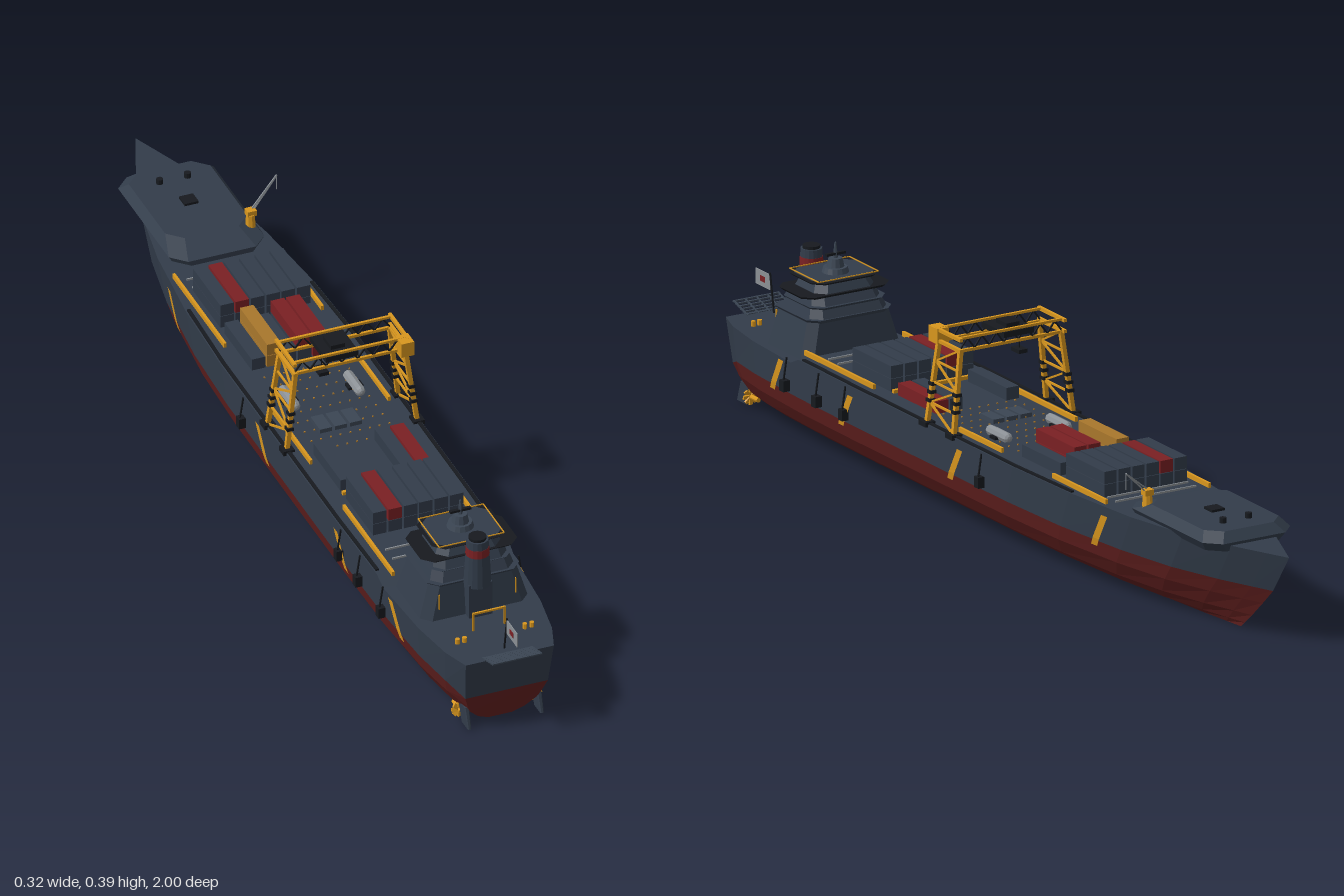
import * as THREE from 'three';
import { mergeGeometries } from 'three/addons/utils/BufferGeometryUtils.js';

const paint = (name, color) => Object.assign(new THREE.MeshStandardMaterial({ color, flatShading: true }), { name });
const slate = paint('slate', 0x323c4a), black = paint('black', 0x171a1f), red = paint('hullRed', 0x62201f);
const yellow = paint('yellow', 0xd8961e), grey = paint('grey', 0x8b9095), crimson = paint('crimson', 0x7a2023);
const ochre = paint('ochre', 0xa9772c), steel = paint('steel', 0x3b4654);
red.side = slate.side = yellow.side = grey.side = THREE.DoubleSide;

const V = (x, y, z) => new THREE.Vector3(x, y, z);
// Linear interpolation in a table of ascending [key, value] pairs
function lin(t, k) {
  if (k <= t[0][0]) return t[0][1];
  for (let i = 1; i < t.length; i++) if (k <= t[i][0])
    return t[i - 1][1] + (t[i][1] - t[i - 1][1]) * (k - t[i - 1][0]) / (t[i][0] - t[i - 1][0]);
  return t[t.length - 1][1];
}
// Closed skin through rings of points, capped at both ends
function loft(rings) {
  const p = [], n = rings[0].length, tri = (...v) => v.forEach(q => p.push(q.x, q.y, q.z));
  for (let i = 0; i + 1 < rings.length; i++) for (let j = 0; j < n; j++) {
    const k = (j + 1) % n, a = rings[i], b = rings[i + 1];
    tri(a[j], a[k], b[j]);
    tri(a[k], b[k], b[j]);
  }
  const first = rings[0], last = rings[rings.length - 1];
  for (let j = 1; j + 1 < n; j++) {
    tri(first[0], first[j + 1], first[j]);
    tri(last[0], last[j], last[j + 1]);
  }
  const g = new THREE.BufferGeometry();
  g.setAttribute('position', new THREE.Float32BufferAttribute(p, 3));
  g.computeVertexNormals();
  return g;
}
// Rectangle with cut corners at height y
function octagon(y, hx, z0, z1, c) {
  return [[hx, z1 - c], [hx, z0 + c], [hx - c, z0], [c - hx, z0], [-hx, z0 + c], [-hx, z1 - c], [c - hx, z1], [hx - c, z1]]
    .map(([x, z]) => V(x, y, z));
}
const box = (w, h, d, x, y, z) => new THREE.BoxGeometry(w, h, d).translate(x, y, z);
const cyl = (r0, r1, h, x, y, z, n = 12) => new THREE.CylinderGeometry(r1, r0, h, n).translate(x, y + h / 2, z);
function beam(a, b, t) {
  const d = b.clone().sub(a), g = new THREE.BoxGeometry(t, d.length(), t);
  g.applyQuaternion(new THREE.Quaternion().setFromUnitVectors(V(0, 1, 0), d.normalize()));
  return g.translate((a.x + b.x) / 2, (a.y + b.y) / 2, (a.z + b.z) / 2);
}

// Hull form: half width by height, end positions by height, plan fullness along the length
const widths = [[0, 0.04], [0.012, 0.077], [0.035, 0.111], [0.07, 0.134], [0.105, 0.143], [0.175, 0.146]];
const sternZ = [[0, 0.91], [0.04, 0.928], [0.1, 0.95], [0.175, 0.96]];
const bowZ = [[0, -0.82], [0.048, -0.877], [0.107, -0.94], [0.193, -1]];
const toU = z => (0.96 - z) / 1.96;
const plan = [[0.96, 0.65], [0.9, 0.79], [0.8, 0.9], [0.64, 0.97], [0.61, 0.98], [0.4, 1], [-0.2, 1], [-0.4, 0.95], [-0.6, 0.81],
  [-0.75, 0.62], [-0.87, 0.36], [-0.95, 0.14], [-1, 0]].map(([z, w]) => [toU(z), w]);
const sheer = [[0, 0.172], [toU(0.64), 0.172], [toU(0.61), 0.187], [toU(-0.6), 0.187], [1, 0.193]];
const waterline = [[0, 0.08], [toU(0.9), 0.1], [0.1, 0.105], [1, 0.107]];
function hullPoint(side, u, y) {
  const s = lin(sternZ, y);
  return V(side * lin(widths, y) * lin(plan, u), y, s + (lin(bowZ, y) - s) * u);
}
function sideAt(side, z, y, out = 0.003) {
  const s = lin(sternZ, y), p = hullPoint(side, (s - z) / (s - lin(bowZ, y)), y);
  p.x += side * out;
  return p;
}

export function createModel() {
  const ship = new THREE.Group();
  ship.name = 'cargoShip';
  const add = (name, mat, ...geos) => {
    const m = new THREE.Mesh(geos.length > 1 ? mergeGeometries(geos.map(g => g.index ? g.toNonIndexed() : g).map(g => g.deleteAttribute('uv'))) : geos[0], mat);
    m.name = name;
    ship.add(m);
  };

  // Hull
  const stations = plan.map(p => p[0]);
  const section = (u, ys) => [...ys.map(y => hullPoint(1, u, y)), ...[...ys].reverse().map(y => hullPoint(-1, u, y))];
  add('lowerHull', red, loft(stations.map(u => {
    const w = lin(waterline, u);
    return section(u, [w, w * 0.667, 0.035, 0.012, 0]);
  })));
  add('upperHull', slate, loft(stations.map(u => section(u, [lin(sheer, u), lin(waterline, u)]))));

  // Slanted hull stripes, davits and fenders
  const stripes = [], fenders = [];
  for (const s of [1, -1]) {
    for (const z of [0.7, 0.43, 0.02, -0.49]) {
      const edge = (y, dz) => sideAt(s, z + 0.022 - 0.044 * (y - 0.095) / 0.073 + dz, y);
      const strip = [0.168, 0.14, 0.112, 0.095].map(y => [edge(y, 0.01), edge(y, -0.01)]);
      const p = [];
      for (let i = 0; i < 3; i++) {
        const [a, b] = strip[i], [c, d] = strip[i + 1];
        for (const v of [a, c, b, b, c, d]) p.push(v.x, v.y, v.z);
      }
      const g = new THREE.BufferGeometry();
      g.setAttribute('position', new THREE.Float32BufferAttribute(p, 3));
      g.computeVertexNormals();
      stripes.push(g);
    }
    for (const z of [0.65, 0.53, 0.43, -0.08]) {
      fenders.push(box(0.015, 0.023, 0.016, s * 0.151, 0.124, z));
      fenders.push(beam(V(s * 0.154, 0.13, z), V(s * 0.146, 0.182, z), 0.003));
    }
  }
  add('hullStripes', yellow, ...stripes);
  add('fenders', black, ...fenders);

  // Rudders and propellers
  for (const s of [1, -1]) {
    add('rudder', slate, loft([octagon(0.002, 0.004, 0.905, 0.94, 0.002), octagon(0.045, 0.005, 0.89, 0.925, 0.002)].map(r => r.map(p => p.setX(p.x + s * 0.078)))));
    const blades = [0, 1, 2, 3].map(i => box(0.009, 0.034, 0.004, 0, 0, 0).rotateY(0.4).rotateZ(i * Math.PI / 4).translate(s * 0.08, 0.022, 0.89));
    add('propeller', yellow, ...blades, cyl(0.005, 0.005, 0.04, 0, -0.02, 0, 8).rotateX(Math.PI / 2).translate(s * 0.08, 0.022, 0.88));
  }

  // Forecastle with hatch, capstans and a small crane
  add('forecastle', slate, loft([octagon(0.178, 0.09, -0.86, -0.545, 0.03), octagon(0.198, 0.103, -0.87, -0.545, 0.03),
    octagon(0.217, 0.088, -0.85, -0.6, 0.03)]));
  add('forecastleFittings', black, box(0.03, 0.006, 0.03, 0, 0.219, -0.72), cyl(0.007, 0.007, 0.012, 0.03, 0.216, -0.8), cyl(0.007, 0.007, 0.012, -0.03, 0.216, -0.8));
  add('bowCranePost', yellow, cyl(0.012, 0.009, 0.035, 0.085, 0.2, -0.605, 8), box(0.02, 0.012, 0.018, 0.087, 0.238, -0.608));
  const jibA = V(0.09, 0.238, -0.608), jibB = V(0.153, 0.294, -0.633), lift = V(0, 0.008, 0);
  add('bowCraneJib', grey, beam(jibA, jibB, 0.003), beam(jibA.clone().add(lift), jibB, 0.003), beam(jibB, V(0.153, 0.26, -0.633), 0.0015));

  // Superstructure: narrowing tiers with overhanging lips
  const tiers = [[0.165, 0.118, 0.245, 0.095], [0.25, 0.09, 0.272, 0.083], [0.272, 0.08, 0.292, 0.074], [0.297, 0.07, 0.318, 0.06]];
  tiers.forEach(([y0, h0, y1, h1], i) => add('bridgeTier', slate, loft([
    octagon(y0, h0, 0.625 + i * 0.008, 0.79 - i * 0.01, 0.02), octagon(y1, h1, 0.637 + i * 0.008, 0.78 - i * 0.01, 0.018)])));
  const lip = (y, hx, z0, z1, h) => loft([octagon(y, hx - 0.006, z0 + 0.006, z1 - 0.006, 0.02), octagon(y + h, hx, z0, z1, 0.02)]);
  add('deckLips', slate, lip(0.243, 0.1, 0.63, 0.785, 0.008), lip(0.268, 0.089, 0.636, 0.772, 0.006));
  add('bridgeWings', black, lip(0.29, 0.104, 0.645, 0.765, 0.006), lip(0.316, 0.08, 0.645, 0.765, 0.005));
  add('bridgeRoof', slate, lip(0.32, 0.073, 0.65, 0.76, 0.003));
  const rails = [];
  for (const s of [1, -1]) rails.push(box(0.002, 0.002, 0.11, s * 0.07, 0.325, 0.705), box(0.14, 0.002, 0.002, 0, 0.325, 0.705 + s * 0.055),
    box(0.002, 0.035, 0.003, s * 0.082, 0.215, 0.79));
  add('roofRails', yellow, ...rails);
  add('mast', steel, cyl(0.028, 0.024, 0.012, 0, 0.322, 0.7, 16), cyl(0.018, 0.014, 0.018, 0, 0.334, 0.7), cyl(0.005, 0.002, 0.032, 0, 0.352, 0.7, 6));
  add('radar', black, box(0.045, 0.005, 0.007, 0, 0.36, 0.7));

  // Funnel
  add('funnel', slate, cyl(0.028, 0.024, 0.07, 0, 0.243, 0.79, 16), cyl(0.023, 0.022, 0.017, 0, 0.331, 0.79, 16));
  add('funnelBand', crimson, cyl(0.0245, 0.0235, 0.018, 0, 0.313, 0.79, 16));
  add('funnelTop', black, cyl(0.018, 0.018, 0.006, 0, 0.348, 0.79, 16));
  add('funnelBase', slate, box(0.05, 0.085, 0.045, 0, 0.207, 0.785));

  // Stern deck: frame, bollards, slatted ramp, ensign
  add('sternFrame', yellow, box(0.07, 0.004, 0.004, 0, 0.212, 0.85), ...[1, -1].flatMap(s => [box(0.004, 0.042, 0.004, s * 0.034, 0.192, 0.85),
    cyl(0.005, 0.005, 0.012, s * 0.065, 0.171, 0.88, 8), cyl(0.005, 0.005, 0.012, s * 0.08, 0.171, 0.88, 8)]));
  const slats = [];
  for (let i = 0; i < 6; i++) slats.push(box(0.108, 0.003, 0.005, 0, 0.172 + i * 0.003, 0.95 + i * 0.0093));
  for (let i = 0; i < 5; i++) slats.push(beam(V(-0.052 + i * 0.026, 0.171, 0.945), V(-0.052 + i * 0.026, 0.188, 0.998), 0.003));
  add('sternRamp', steel, ...slats);
  add('flagStaff', black, beam(V(0, 0.17, 0.93), V(0, 0.252, 0.945), 0.003));
  add('ensign', grey, box(0.002, 0.032, 0.055, 0, 0.232, 0.971).rotateX(0));
  add('ensignBand', crimson, box(0.003, 0.012, 0.018, 0, 0.232, 0.971));

  // Containers: one character per column, upper row above lower row
  const paints = { s: slate, r: crimson, o: ochre, k: black };
  const bays = [[-0.39, 'ssssss', 'srssss'], [-0.225, 'sossrs', '.o.rr.'], [0.24, 's...sr', '......'], [0.41, 'ssssss', 'srssss']];
  for (const [z, ...rows] of bays) rows.forEach((row, level) => [...row].forEach((c, i) => {
    if (paints[c]) add('container', paints[c], box(0.029, 0.026, 0.143, -0.083 + i * 0.033, 0.2005 + level * 0.027, z));
  }));

  // Deck rails, cross beams, walkways and lashing points
  add('deckRails', yellow, ...[[-1, -0.52, -0.25], [-1, 0.37, 0.63], [1, 0.37, 0.63], [1, -0.11, 0.05], [-1, -0.02, 0.2], [1, -0.5, -0.3]]
    .map(([s, a, b]) => box(0.006, 0.01, b - a, s * 0.115, 0.192, (a + b) / 2)), box(0.2, 0.007, 0.008, 0, 0.192, 0.325), box(0.1, 0.007, 0.006, 0.04, 0.19, -0.31));
  add('gunwales', black, ...[1, -1].flatMap(s => [beam(sideAt(s, 0.6, 0.187, -0.006), sideAt(s, 0.4, 0.187, -0.006), 0.007),
    beam(sideAt(s, 0.4, 0.187, -0.006), sideAt(s, -0.2, 0.187, -0.006), 0.007), beam(sideAt(s, -0.2, 0.187, -0.006), sideAt(s, -0.4, 0.187, -0.006), 0.007)]));
  add('walkwayLines', grey, ...[-0.5, -0.47, 0.54, 0.575].map(z => box(0.19, 0.004, 0.003, 0, 0.189, z)));
  const points = [];
  for (let z = -0.12; z < 0.17; z += 0.035) for (let i = -4; i <= 4; i++) points.push(box(0.003, 0.003, 0.003, i * 0.021, 0.188, z));
  add('lashingPoints', ochre, ...points);
  add('hatches', steel, ...[-0.032, 0.0, 0.032].map(x => box(0.026, 0.01, 0.05, x - 0.012, 0.191, 0.08)));
  for (const s of [1, -1]) {
    add('workBoat', grey, new THREE.CapsuleGeometry(0.011, 0.06, 3, 8).rotateX(Math.PI / 2).translate(s * 0.07, 0.195, -0.025));
    add('boatCradle', black, box(0.032, 0.006, 0.02, s * 0.07, 0.19, -0.025));
  }

  // Gantry crane: four splayed legs, side bracing, two truss girders
  const frame = [], braces = [], joints = [];
  const leg = (s, e, t) => V(s * (0.14 - 0.022 * t), 0.187 + 0.172 * t, 0.083 + e * (0.05 - 0.01 * t));
  for (const s of [1, -1]) {
    for (const e of [1, -1]) {
      frame.push(beam(leg(s, e, 0), leg(s, e, 1), 0.009));
      const foot = leg(s, e, 0);
      joints.push(box(0.024, 0.01, 0.026, foot.x, 0.187, foot.z));
      for (const t of [0.28, 0.38, 0.48]) {
        const q = leg(s, e, t);
        joints.push(box(0.014, 0.007, 0.014, q.x, q.y, q.z));
      }
    }
    for (let i = 0; i < 4; i++) {
      const e = i % 2 ? 1 : -1;
      frame.push(beam(leg(s, e, i / 4), leg(s, -e, (i + 1) / 4), 0.004));
      frame.push(beam(leg(s, 1, (i + 1) / 4), leg(s, -1, (i + 1) / 4), 0.004));
    }
    frame.push(box(0.007, 0.007, 0.1, s * 0.122, 0.383, 0.083), box(0.007, 0.007, 0.1, s * 0.122, 0.36, 0.083));
  }
  for (const z of [0.043, 0.123]) {
    frame.push(box(0.25, 0.005, 0.006, 0, 0.384, z), box(0.25, 0.006, 0.006, 0, 0.358, z));
    for (let i = 0; i < 14; i++) {
      const x = -0.12 + i * 0.0171, up = i % 2;
      braces.push(beam(V(x, up ? 0.383 : 0.36, z), V(x + 0.0171, up ? 0.36 : 0.383, z), 0.003));
    }
  }
  add('gantryFrame', yellow, ...frame);
  add('gantryBraces', black, ...braces);
  add('gantryJoints', black, ...joints);
  add('gantryCab', yellow, box(0.027, 0.032, 0.034, 0.115, 0.37, 0.13));
  add('gantryTrolley', black, box(0.07, 0.012, 0.085, -0.018, 0.374, 0.083), box(0.03, 0.014, 0.04, -0.018, 0.382, 0.083));
  add('hoistCable', black, box(0.002, 0.05, 0.002, -0.045, 0.345, 0.083), box(0.02, 0.008, 0.03, -0.045, 0.322, 0.083));
  return ship;
}
